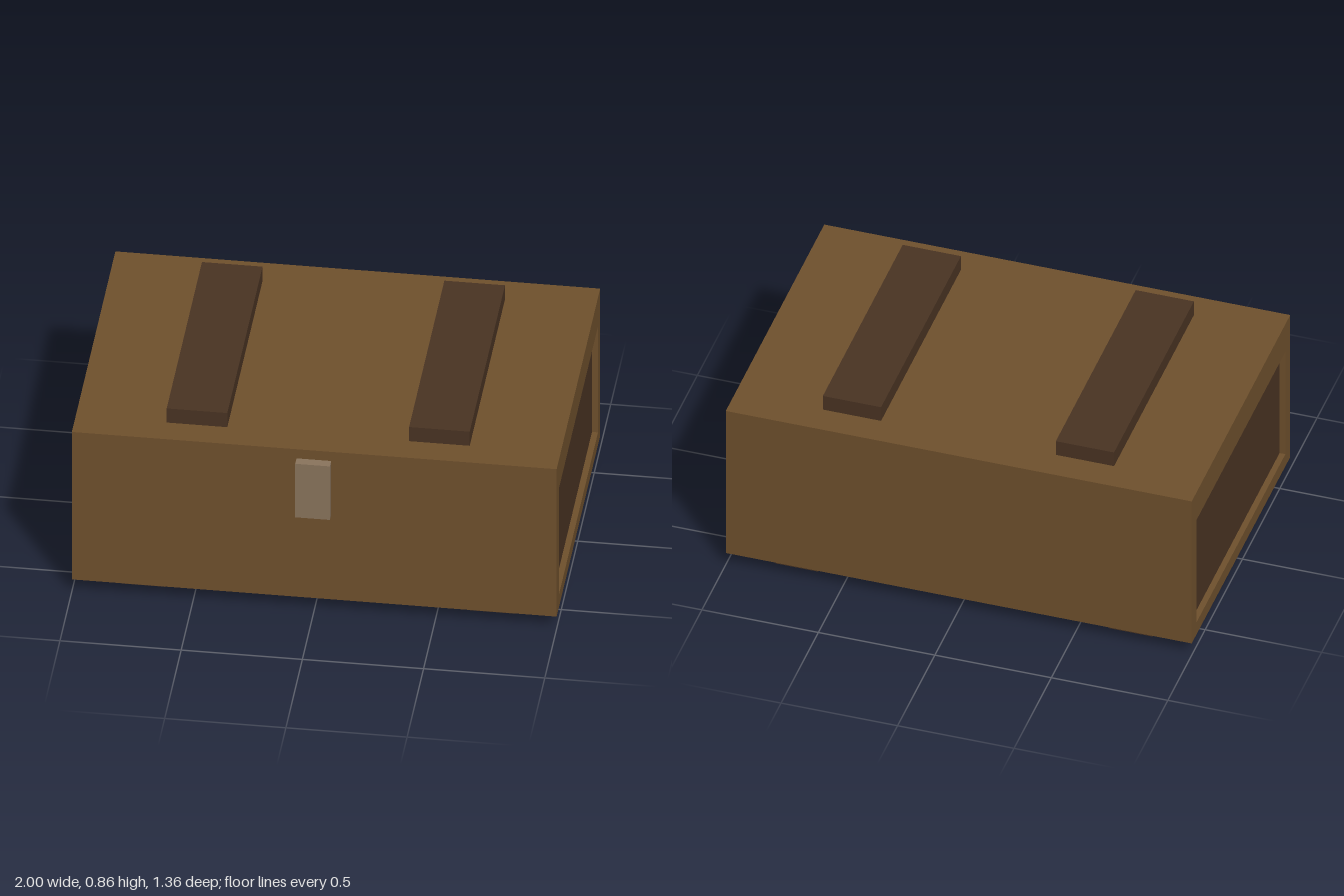
import * as THREE from 'three';

const wood = new THREE.MeshStandardMaterial({ name: 'wood brown', color: 0x70512d });
const darkWood = new THREE.MeshStandardMaterial({ name: 'dark brown', color: 0x4a3423 });
const metal = new THREE.MeshStandardMaterial({ name: 'dull metal', color: 0x8b755d });

// Box given by its lower and upper limits on each axis
function block(name, material, [x0, x1], [y0, y1], [z0, z1]) {
  const mesh = new THREE.Mesh(new THREE.BoxGeometry(x1 - x0, y1 - y0, z1 - z0), material);
  mesh.name = name;
  mesh.position.set((x0 + x1) / 2, (y0 + y1) / 2, (z0 + z1) / 2);
  return mesh;
}

// Rectangle outline in the side plane, u = -z
function rectangle(PathType, u0, u1, y0, y1) {
  return new PathType([[u0, y0], [u1, y0], [u1, y1], [u0, y1]].map(p => new THREE.Vector2(...p)));
}

export function createModel() {
  const crate = new THREE.Group();
  crate.name = 'crate';

  // Crate body: a sleeve running left to right, open at both ends
  const side = rectangle(THREE.Shape, -0.64, 0.68, 0.06, 0.79);
  side.holes.push(rectangle(THREE.Path, -0.575, 0.615, 0.122, 0.648));
  const sleeve = new THREE.ExtrudeGeometry(side, { depth: 2, bevelEnabled: false });
  sleeve.translate(0, 0, -1).rotateY(Math.PI / 2);
  const body = new THREE.Mesh(sleeve, wood);
  body.name = 'crateBody';
  crate.add(body);

  // Recessed panels, top slats and feet on both sides
  for (const s of [-1, 1]) {
    const span = (a, b) => (s > 0 ? [a, b] : [-b, -a]);
    const label = s > 0 ? 'left' : 'right';
    crate.add(
      block(label + 'EndPanel', darkWood, span(0.95, 0.975), [0.122, 0.648], [-0.615, 0.575]),
      block(label + 'TopSlat', darkWood, span(0.375, 0.625), [0.785, 0.86], [-0.55, 0.52]),
      block(label + 'Foot', darkWood, span(0.625, 0.81), [0, 0.065], [-0.61, 0.555]),
    );
  }

  // Front latch
  crate.add(block('latch', metal, [-0.073, 0.07], [0.48, 0.745], [0.63, 0.68]));

  return crate;
}
